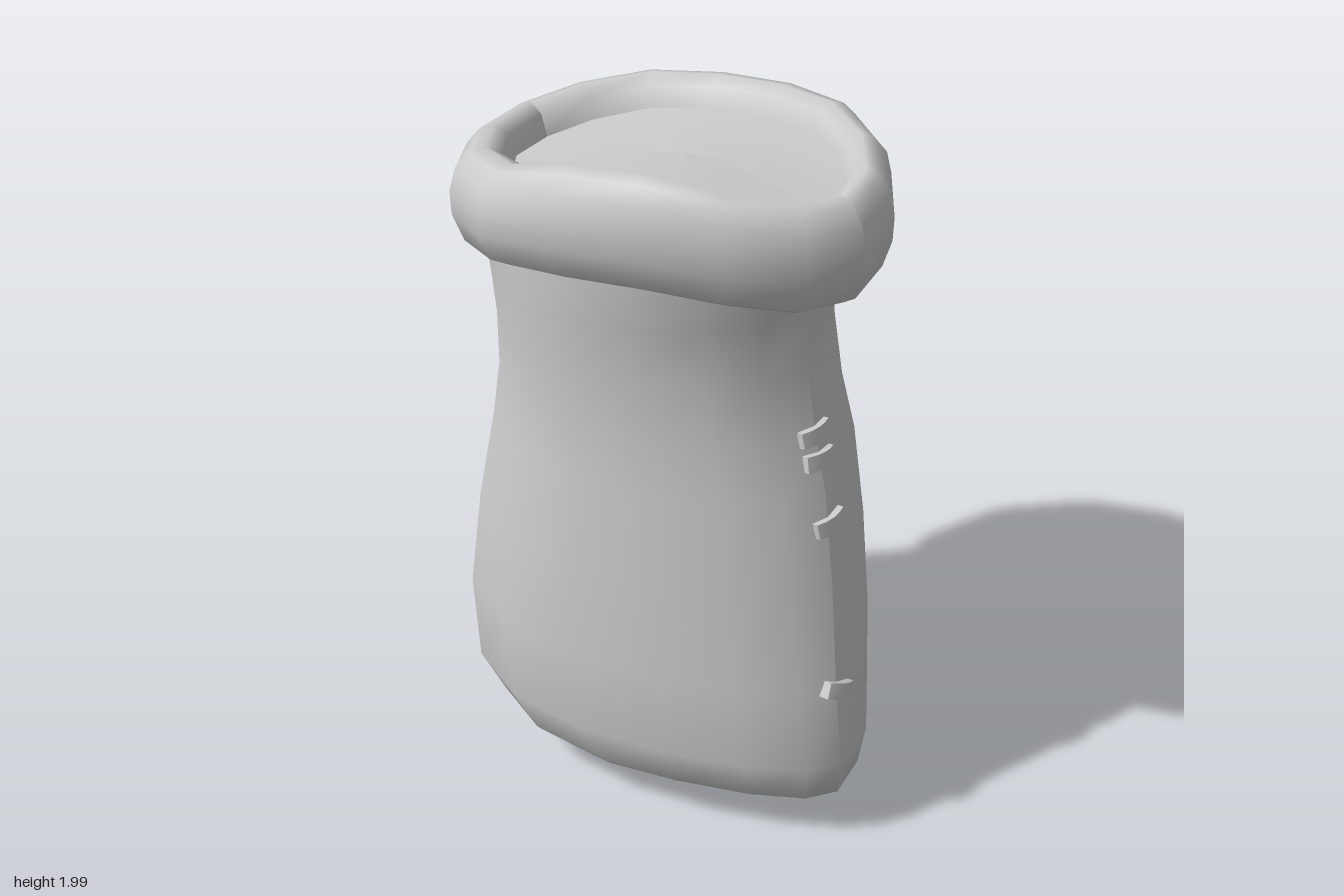
import * as THREE from 'three';

const SEGMENTS = 8; // facets per half panel

// Lofts a grid of points: rows run up the surface, angles run from +x round the front.
function loft(rowCount, from, to, segs, point) {
  const pos = [], index = [];
  for (let i = 0; i < rowCount; i++) {
    for (let j = 0; j <= segs; j++) pos.push(...point(i, from + (to - from) * j / segs));
  }
  for (let i = 0; i < rowCount - 1; i++) {
    for (let j = 0; j < segs; j++) {
      const a = i * (segs + 1) + j, b = a + 1, d = a + segs + 1, c = d + 1;
      index.push(a, d, b, b, d, c);
    }
  }
  const g = new THREE.BufferGeometry();
  g.setAttribute('position', new THREE.Float32BufferAttribute(pos, 3));
  g.setIndex(index);
  g.computeVertexNormals();
  return g;
}

// Lopsided oval: its front and back bulge more toward -x.
function oval(a, xMin, xMax, zFront, zBack, seamZ, kFront, kBack) {
  const c = Math.cos(a), s = Math.sin(a), front = s >= 0;
  const depth = front ? zFront - seamZ : seamZ - zBack;
  const x = (xMin + xMax) / 2 + (xMax - xMin) / 2 * c;
  return [x, seamZ + depth * s * (1 - (front ? kFront : kBack) * c)];
}

// Body rows: y, tilt along x, then xMin, xMax, zFront, zBack, seamZ, kFront, kBack
const BODY = [
  [0.005, 0, 0.03, 0.03, 0, 0, 0, 0, 0],
  [0.03, 0, -0.21, 0.27, 0.19, -0.2, 0.01, 0.4, 0.3],
  [0.075, 0, -0.42, 0.5, 0.35, -0.34, 0.03, 0.42, 0.32],
  [0.14, 0, -0.51, 0.62, 0.41, -0.43, 0.06, 0.42, 0.32],
  [0.26, 0, -0.58, 0.64, 0.455, -0.48, 0.075, 0.4, 0.28],
  [0.5, 0, -0.61, 0.6, 0.455, -0.5, 0.06, 0.36, 0.22],
  [0.78, 0, -0.59, 0.55, 0.43, -0.475, 0.03, 0.3, 0.16],
  [1.04, 0, -0.545, 0.5, 0.405, -0.435, 0.01, 0.25, 0.12],
  [1.2, 0, -0.52, 0.45, 0.395, -0.41, 0, 0.22, 0.12],
  [1.37, 0.03, -0.51, 0.42, 0.4, -0.395, 0, 0.22, 0.12],
  [1.51, 0.09, -0.52, 0.425, 0.405, -0.39, 0.01, 0.22, 0.12],
  [1.69, 0.16, -0.56, 0.49, 0.41, -0.4, 0.02, 0.2, 0.12],
];

function bodyPoint(i, a) {
  const [y, tilt, ...outline] = BODY[i];
  const [x, z] = oval(a, ...outline);
  return [x, y + tilt * x, z];
}

// Collar section: [0 inner .. 1 outer, 0 bottom .. 1 top]
const COLLAR = [
  [-0.4, 0.2], [0.5, 0], [0.8, 0.09], [0.98, 0.35], [1, 0.58],
  [0.9, 0.8], [0.66, 0.95], [0.4, 1], [0.14, 0.93], [0, 0.74],
];

const collarOuter = (a) => oval(a, -0.635, 0.605, 0.495, -0.45, 0.02, 0.18, 0.1);
const collarInner = (a) => oval(a, -0.49, 0.48, 0.345, -0.3, 0.02, 0.18, 0.1);

// Wavy collar edges as [x, y] points
const LOW = [[-0.57, 1.48], [-0.3, 1.58], [0, 1.655], [0.2, 1.68], [0.37, 1.67], [0.55, 1.635]];
const TOP_FRONT = [[-0.57, 1.79], [-0.45, 1.825], [-0.25, 1.87], [-0.08, 1.945], [0.13, 2.0], [0.35, 1.98], [0.55, 1.925]];
const TOP_BACK = [[-0.57, 1.79], [-0.45, 1.825], [-0.25, 1.85], [0, 1.895], [0.2, 1.93], [0.4, 1.935], [0.55, 1.925]];

function heightAt(points, x) {
  let k = 1;
  while (k < points.length - 1 && x > points[k][0]) k++;
  const [x0, y0] = points[k - 1], [x1, y1] = points[k];
  return y0 + (y1 - y0) * (x - x0) / (x1 - x0);
}

function collarY(x, s, t) {
  const low = heightAt(LOW, x);
  const top = THREE.MathUtils.lerp(heightAt(TOP_BACK, x), heightAt(TOP_FRONT, x), (s + 1) / 2);
  return low + (top - low) * t;
}

function collarPoint(i, a) {
  const [s, t] = COLLAR[i], o = collarOuter(a), n = collarInner(a);
  const x = n[0] + (o[0] - n[0]) * s, z = n[1] + (o[1] - n[1]) * s;
  return [x, collarY((n[0] + o[0]) / 2, Math.sin(a), t), z];
}

// Surface spanning the inside of the collar
const FILL = [1, 0.7, 0.35, 0];
function fillPoint(i, a) {
  const r = FILL[i], n = collarInner(a), o = collarOuter(a);
  const y = collarY((n[0] + o[0]) / 2 * r, Math.sin(a) * r, 0.74);
  return [n[0] * r, y - 0.01 * (1 - r * r), 0.02 + (n[1] - 0.02) * r];
}

// Short strap of thread, bent around the side seam
function stitchGeometry() {
  const g = new THREE.BoxGeometry(0.03, 0.045, 0.1, 1, 1, 4);
  const p = g.attributes.position;
  for (let i = 0; i < p.count; i++) {
    p.setX(i, p.getX(i) - 5 * p.getZ(i) ** 2);
  }
  g.computeVertexNormals();
  return g;
}

// x, y, z, roll about x, lean about z
const STITCHES = [
  [0.452, 1.2, 0, 0.03, 0.2],
  [0.47, 1.13, 0, -0.08, 0.2],
  [0.517, 0.955, 0.005, 0.08, 0.18],
  [0.606, 0.48, 0.05, -0.45, 0.15],
  [-0.517, 1.23, 0, 0.05, -0.1],
  [-0.527, 1.15, 0, -0.08, -0.1],
  [-0.622, 0.5, 0.03, 0.4, -0.05],
  [-0.625, 0.46, 0.08, 0.85, 0.05],
];

export function createModel() {
  const cloth = new THREE.MeshStandardMaterial({ color: 0xcccccc });
  cloth.name = 'lightGreyCloth';

  const model = new THREE.Group();
  model.name = 'sack';
  const add = (geometry, name, parent = model) => {
    const mesh = new THREE.Mesh(geometry, cloth);
    mesh.name = name;
    parent.add(mesh);
    return mesh;
  };

  // Front and back panels stay separate so the side seams are crisp
  for (const [side, from] of [['front', 0], ['back', Math.PI]]) {
    const to = from + Math.PI;
    add(loft(BODY.length, from, to, SEGMENTS, bodyPoint), side + 'Panel');
    add(loft(COLLAR.length, from, to, SEGMENTS, collarPoint), side + 'Collar');
  }
  add(loft(FILL.length, 0, Math.PI * 2, SEGMENTS * 2, fillPoint), 'innerFill');

  // Stitches along both seams
  const stitches = new THREE.Group();
  stitches.name = 'seamStitches';
  model.add(stitches);
  const geometry = stitchGeometry();
  for (const [x, y, z, roll, lean] of STITCHES) {
    const stitch = add(geometry, 'stitch', stitches);
    stitch.position.set(x, y, z);
    stitch.rotation.set(roll, x < 0 ? Math.PI : 0, x < 0 ? -lean : lean);
  }
  return model;
}
